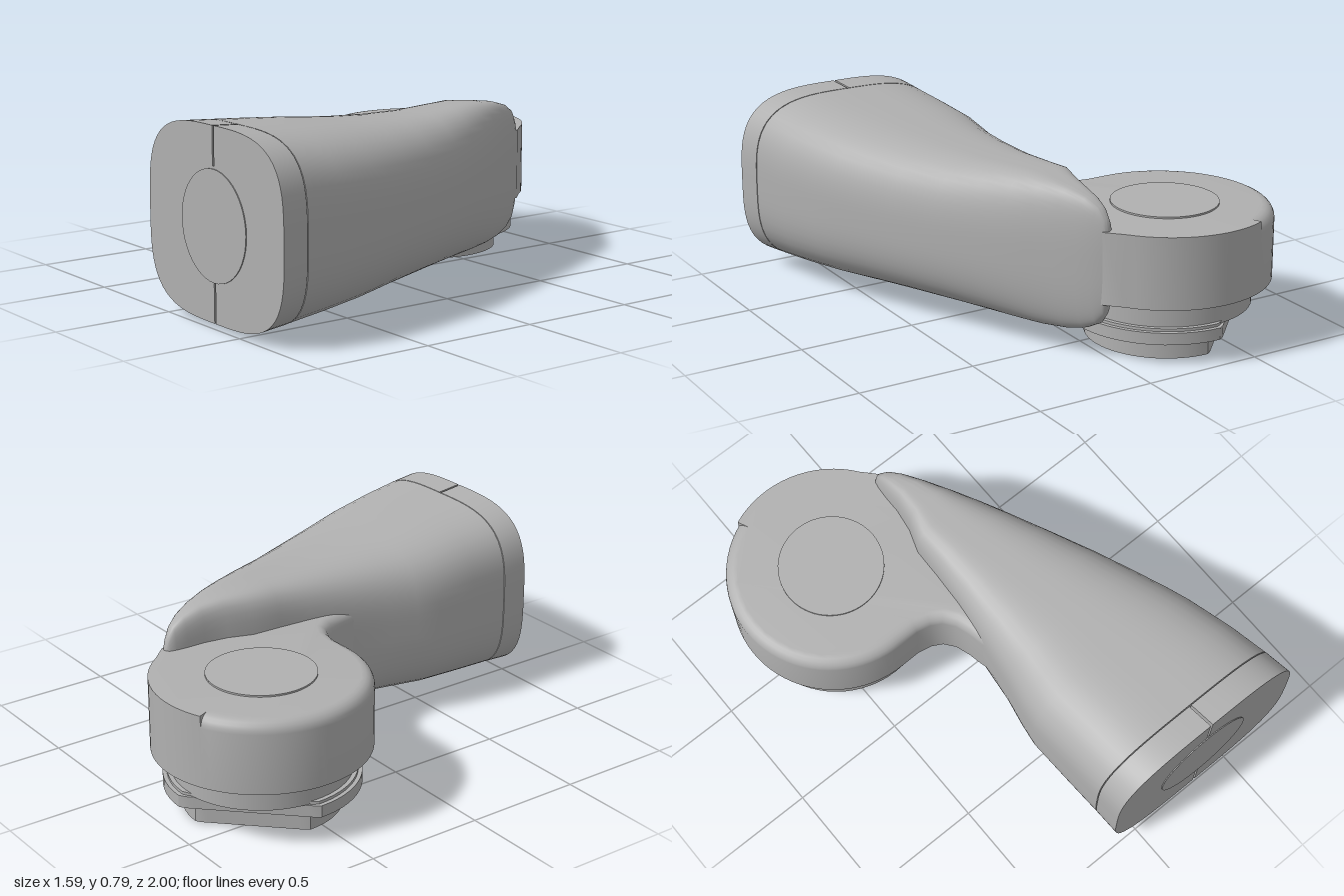
import * as THREE from 'three';
import { toCreasedNormals } from 'three/addons/utils/BufferGeometryUtils.js';

const JX = -0.36, JZ = -0.56; // axis of the joint

function build(positions, index, crease) {
  const g = new THREE.BufferGeometry();
  g.setAttribute('position', new THREE.Float32BufferAttribute(positions, 3));
  g.setIndex(index);
  return toCreasedNormals(g, crease);
}

// Rounded-square section point; nl and nr set how square each side is
function sectionPoint([, xl, xr, yb, yt, nl, nr], t) {
  const c = Math.cos(t), s = Math.sin(t), n = c < 0 ? nl : nr;
  const k = Math.pow(Math.abs(c) ** n + Math.abs(s) ** n, -1 / n);
  return [(xl + xr) / 2 + (xr - xl) / 2 * c * k, (yb + yt) / 2 + (yt - yb) / 2 * s * k];
}

// Skin through sections running from front to back, capped at both ends
function loft(stations, sides) {
  const pos = [], idx = [], last = (stations.length - 1) * sides;
  for (const st of stations) {
    for (let j = 0; j < sides; j++) {
      pos.push(...sectionPoint(st, j / sides * Math.PI * 2), st[0]);
    }
  }
  const front = stations.length * sides, back = front + 1;
  for (const st of [stations[0], stations[stations.length - 1]]) {
    pos.push((st[1] + st[2]) / 2, (st[3] + st[4]) / 2, st[0]);
  }
  for (let j = 0; j < sides; j++) {
    const n = (j + 1) % sides;
    for (let i = 0; i < last; i += sides) {
      idx.push(i + j, i + sides + j, i + n, i + n, i + sides + j, i + sides + n);
    }
    idx.push(front, j, n, back, last + n, last + j);
  }
  return build(pos, idx, 0.7);
}

// Plate from an outline of [x, -z, bevel], bevel rounding the top edge
function bevelledPlate(outline, y0, y1) {
  const N = outline.length, steps = 5, pos = [], idx = [];
  for (let k = -1; k <= steps; k++) {
    const a = Math.max(k, 0) / steps * Math.PI / 2;
    outline.forEach(([x, s, b], i) => {
      const p = outline[(i + N - 1) % N], q = outline[(i + 1) % N];
      const tx = q[0] - p[0], ts = q[1] - p[1], len = Math.hypot(tx, ts);
      const inset = b * (1 - Math.cos(a));
      pos.push(x - ts / len * inset, k < 0 ? y0 : y1 - b + b * Math.sin(a), -(s + tx / len * inset));
    });
  }
  for (let k = 0; k <= steps; k++) {
    for (let i = 0; i < N; i++) {
      const a = k * N + i, b = k * N + (i + 1) % N;
      idx.push(a, b, a + N, b, b + N, a + N);
    }
  }
  const top = (steps + 1) * N;
  const contour = outline.map((_, i) => new THREE.Vector2(pos[(top + i) * 3], -pos[(top + i) * 3 + 2]));
  for (const [a, b, c] of THREE.ShapeUtils.triangulateShape(contour, [])) {
    idx.push(top + a, top + b, top + c, a, c, b);
  }
  return build(pos, idx, 0.6);
}

// Disc on the joint axis with one flat at distance d from the axis
function flattedDisc(r, d, y0, y1) {
  const nx = -0.71, ns = 0.704, pts = [];
  for (let i = 0; i < 64; i++) {
    const a = i / 64 * Math.PI * 2;
    const x = r * Math.cos(a), s = r * Math.sin(a);
    const over = Math.max(0, x * nx + s * ns - d);
    pts.push(new THREE.Vector2(JX + x - over * nx, -JZ + s - over * ns));
  }
  const g = new THREE.ExtrudeGeometry(new THREE.Shape(pts), { depth: y1 - y0, bevelEnabled: false });
  g.rotateX(-Math.PI / 2).translate(0, y0, 0);
  return toCreasedNormals(g, 0.5);
}

function jointCylinder(r, y0, y1) {
  return new THREE.CylinderGeometry(r, r, y1 - y0, 64).translate(JX, (y0 + y1) / 2, JZ);
}

export function createModel() {
  const group = new THREE.Group();
  const grey = new THREE.MeshStandardMaterial({ color: 0xb0b0b0 });
  grey.name = 'grey';
  const add = (name, geometry) => {
    const mesh = new THREE.Mesh(geometry, grey);
    mesh.name = name;
    group.add(mesh);
  };

  // Curved arm: z, left x, right x, bottom, top, squareness of each side
  const stations = [
    [0.876, -0.134, 0.773, 0.03, 0.776, 3.4, 3.4],
    [0.7, -0.142, 0.742, 0.042, 0.762, 3.4, 3.3],
    [0.5, -0.15, 0.692, 0.055, 0.745, 3.3, 3.2],
    [0.4, -0.135, 0.66, 0.063, 0.735, 3.3, 3.1],
    [0.28, -0.11, 0.615, 0.072, 0.725, 3.4, 3],
    [0.1, -0.085, 0.543, 0.082, 0.713, 3.8, 2.9],
    [-0.1, -0.06, 0.45, 0.088, 0.708, 4.5, 2.8],
    [-0.25, -0.05, 0.373, 0.09, 0.713, 5, 2.8],
    [-0.38, -0.045, 0.303, 0.09, 0.715, 6, 2.8],
    [-0.48, -0.01, 0.243, 0.096, 0.708, 6, 2.8],
    [-0.58, 0.005, 0.18, 0.108, 0.695, 5, 2.8],
    [-0.66, 0.005, 0.13, 0.13, 0.672, 4, 2.8],
    [-0.71, 0.008, 0.093, 0.158, 0.642, 3.5, 2.8],
    [-0.74, 0.012, 0.068, 0.2, 0.6, 3, 2.6],
    [-0.752, 0.025, 0.056, 0.25, 0.55, 3, 2.6],
  ];
  add('arm', loft(stations, 64));

  // End collar with a narrow slot at top and bottom
  const endFront = [0.996, -0.13, 0.79, 0.02, 0.785, 3.4, 3.4];
  const pts = [];
  const slotX = 0.33, slotHalf = 0.005;
  for (let i = 0; i < 96; i++) {
    const [x, y] = sectionPoint(endFront, i / 96 * Math.PI * 2);
    if (i === 24) { // top slot
      for (const [sx, sy] of [[1, y], [1, 0.63], [-1, 0.63], [-1, y]]) {
        pts.push(new THREE.Vector2(slotX + sx * slotHalf, sy));
      }
    } else if (i === 72) { // bottom slot
      for (const [sx, sy] of [[-1, y], [-1, 0.18], [1, 0.18], [1, y]]) {
        pts.push(new THREE.Vector2(slotX + sx * slotHalf, sy));
      }
    } else pts.push(new THREE.Vector2(x, y));
  }
  const collar = new THREE.ExtrudeGeometry(new THREE.Shape(pts), { depth: 0.116, bevelEnabled: false });
  collar.translate(0, 0, 0.88);
  // taper its back edge to meet the arm
  const cp = collar.attributes.position;
  for (let i = 0; i < cp.count; i++) {
    if (cp.getZ(i) < 0.9) {
      cp.setX(i, 0.32 + (cp.getX(i) - 0.33) * 0.986);
      cp.setY(i, 0.403 + (cp.getY(i) - 0.4025) * 0.976);
    }
  }
  add('endCollar', toCreasedNormals(collar, 0.5));
  add('endDisc', new THREE.CylinderGeometry(0.22, 0.22, 0.008, 48)
    .rotateX(Math.PI / 2).translate(0.33, 0.4, 0.996));

  // Joint housing: round head with a fillet into the arm; the bevel starts at a notch
  const outline = [[0.06, 0.75, 0]];
  const arc = (from, to, steps, bevel) => {
    for (let i = 0; i <= steps; i++) {
      const a = THREE.MathUtils.degToRad(from + (to - from) * i / steps);
      outline.push([JX + 0.44 * Math.cos(a), -JZ + 0.44 * Math.sin(a), bevel]);
    }
  };
  arc(36, 114, 16, 0);
  arc(114.3, 272, 34, 0.05);
  outline.push([-0.26, 0.122, 0.05], [-0.2, 0.11, 0.05], [-0.155, 0.085, 0.05], [-0.12, 0.04, 0.05],
    [-0.1, -0.02, 0.05], [-0.088, -0.08, 0.05], [-0.07, -0.15, 0.05], [0.1, -0.05, 0], [0.11, 0.5, 0]);
  add('jointHousing', bevelledPlate(outline, 0.25, 0.55));
  add('jointCap', jointCylinder(0.22, 0.545, 0.557));

  // Stepped mount below the joint
  add('mountNeck', jointCylinder(0.36, 0.14, 0.26));
  add('mountFlange', flattedDisc(0.395, 0.285, 0.088, 0.138));
  add('mountFlangeLip', flattedDisc(0.378, 0.275, 0.138, 0.15));
  add('mountBase', flattedDisc(0.32, 0.23, 0, 0.09));

  return group;
}
